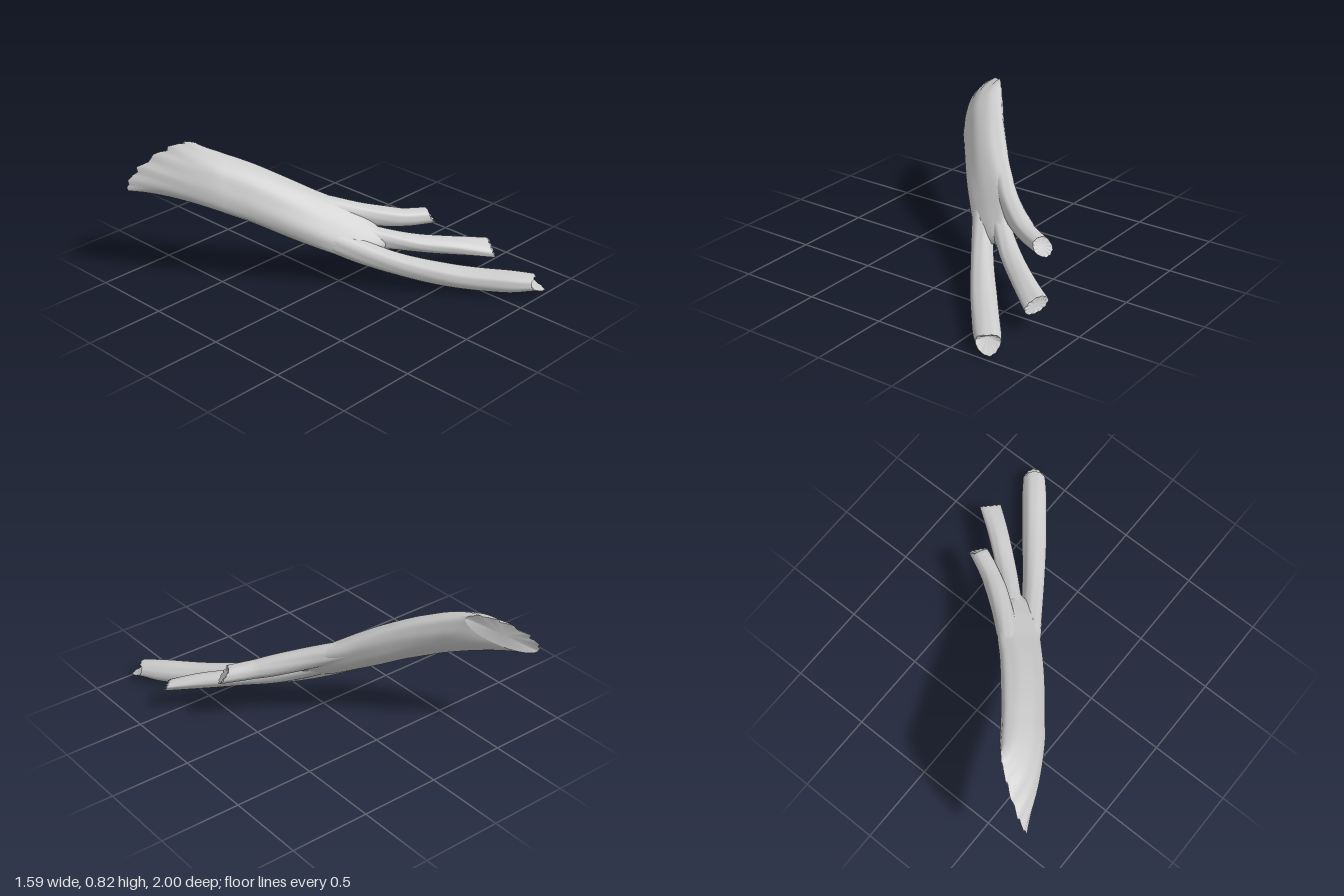
import * as THREE from 'three';

const SIDES = 48;
const UP = new THREE.Vector3(0, 1, 0);
const V = (x, y, z) => new THREE.Vector3(x, y, z);
const material = new THREE.MeshStandardMaterial({ color: 0xcccccc, side: THREE.DoubleSide });

// Upright, tilted oval sections along a path.
// Each station: [x, y, z, long half-axis, short half-axis, tilt]
function sections(stations, steps, ridge) {
  const path = new THREE.CatmullRomCurve3(stations.map((s) => V(s[0], s[1], s[2])));
  const size = new THREE.CatmullRomCurve3(stations.map((s) => V(s[3], s[4], s[5])));
  const rings = [];
  let along;
  for (let i = 0; i <= steps; i++) {
    const t = i / steps;
    const c = path.getPoint(t), s = size.getPoint(t);
    along = path.getTangent(t).setY(0).normalize();
    const side = UP.clone().cross(along);
    const e1 = UP.clone().multiplyScalar(Math.cos(s.z)).addScaledVector(side, Math.sin(s.z));
    const e2 = along.clone().cross(e1);
    const ring = [];
    for (let j = 0; j < SIDES; j++) {
      const a = (j / SIDES) * Math.PI * 2;
      // lengthwise fibre grooves that wander slowly
      const r = 1 + ridge * (Math.cos(5 * a + 2.5 * t) + 0.6 * Math.cos(9 * a - 4 * t + 1));
      ring.push(c.clone().addScaledVector(e1, s.x * r * Math.cos(a)).addScaledVector(e2, s.y * r * Math.sin(a)));
    }
    rings.push(ring);
  }
  return { rings, along };
}

// Smooth skin over a list of rings
function skin(rings) {
  const pos = [], idx = [];
  rings.forEach((ring) => ring.forEach((p) => pos.push(p.x, p.y, p.z)));
  for (let i = 0; i < rings.length - 1; i++) {
    for (let j = 0; j < SIDES; j++) {
      const k = (j + 1) % SIDES;
      const a = i * SIDES + j, b = i * SIDES + k;
      idx.push(a, b, a + SIDES, b, b + SIDES, a + SIDES);
    }
  }
  return finish(pos, idx);
}

// Sunken broken end inside a ring
function cap(ring, inward, atStart) {
  const mid = ring.reduce((m, p) => m.addScaledVector(p, 1 / SIDES), V(0, 0, 0)).add(inward);
  const pos = [mid.x, mid.y, mid.z], idx = [];
  ring.forEach((p) => pos.push(p.x, p.y, p.z));
  for (let j = 0; j < SIDES; j++) {
    const a = 1 + j, b = 1 + ((j + 1) % SIDES);
    if (atStart) idx.push(0, b, a);
    else idx.push(0, a, b);
  }
  return finish(pos, idx);
}

function finish(pos, idx) {
  const g = new THREE.BufferGeometry();
  g.setAttribute('position', new THREE.Float32BufferAttribute(pos, 3));
  g.setIndex(idx);
  g.computeVertexNormals();
  return g;
}

function part(name, geometries) {
  const group = new THREE.Group();
  group.name = name;
  geometries.forEach((g, i) => {
    const mesh = new THREE.Mesh(g, material);
    mesh.name = name + (i ? 'End' : 'Skin');
    group.add(mesh);
  });
  return group;
}

// Flattened main body with a long slanted, ragged cut at the back
function trunk() {
  const { rings } = sections([
    [-0.42, 0.615, -0.57, 0.175, 0.1, 0.58],
    [-0.3, 0.55, -0.42, 0.175, 0.1, 0.58],
    [-0.2, 0.485, -0.3, 0.175, 0.1, 0.6],
    [-0.1, 0.42, -0.185, 0.175, 0.092, 0.65],
    [0, 0.36, -0.08, 0.175, 0.08, 0.72],
    [0.11, 0.305, 0.045, 0.165, 0.06, 0.78],
    [0.18, 0.272, 0.12, 0.1, 0.04, 0.78],
    [0.24, 0.25, 0.17, 0.03, 0.02, 0.78],
  ], 42, 0.02);
  const low = V(-0.79, 0.55, -0.99), top = V(-0.42, 0.8, -0.76);
  const mid = low.clone().add(top).multiplyScalar(0.5);
  const half = top.clone().sub(mid);
  const outer = V(-0.015, 0.075, -0.05), inner = V(0.05, -0.045, 0.01);
  const back = V(-0.57, 0.3, -0.82);
  const rim = [];
  for (let j = 0; j < SIDES; j++) {
    const a = (j / SIDES) * Math.PI * 2, s = Math.sin(a);
    const p = mid.clone().addScaledVector(half, Math.cos(a)).addScaledVector(s > 0 ? outer : inner, Math.abs(s));
    // ragged fibres on the outer lip
    if (s > 0) p.addScaledVector(back, s * 0.014 * (Math.sin(j * 1.7) + 0.6 * Math.sin(j * 2.9)));
    rim.push(p);
  }
  // sides run straight back from the body, then curve in to the rim
  const sweeps = rim.map((p, j) => {
    const body = rings[0][j];
    const bend = body.clone().addScaledVector(back, 0.6 * Math.hypot(p.x - body.x, p.z - body.z));
    return new THREE.QuadraticBezierCurve3(p, bend, body);
  });
  const lead = [];
  for (let i = 0; i < 12; i++) lead.push(sweeps.map((c) => c.getPoint(i / 12)));
  return part('trunk', [skin([...lead, ...rings]), cap(rim, V(0, 0, 0), true)]);
}

// Branch rooted inside the trunk; slant(angle) shapes its broken end
function branch(name, stations, slant, depth) {
  const { rings, along } = sections(stations, 40, 0.02);
  const last = rings[rings.length - 1];
  last.forEach((p, j) => {
    const a = (j / SIDES) * Math.PI * 2;
    p.addScaledVector(along, slant(a) + 0.004 * Math.sin(j * 1.6));
  });
  return part(name, [skin(rings), cap(last, along.clone().multiplyScalar(-depth), false)]);
}

export function createModel() {
  const model = new THREE.Group();
  model.name = 'splitBranch';
  model.add(trunk());
  model.add(branch('upperBranch', [
    [-0.25, 0.59, -0.42, 0.04, 0.03, 0.5],
    [-0.1, 0.505, -0.27, 0.06, 0.05, 0.5],
    [0.05, 0.438, -0.13, 0.07, 0.06, 0.4],
    [0.2, 0.385, 0, 0.068, 0.064, 0.2],
    [0.4, 0.337, 0.14, 0.056, 0.06, 0],
    [0.57, 0.32, 0.225, 0.05, 0.056, 0],
  ], (a) => -0.035 * Math.cos(a) - 0.01 * Math.sin(a), 0.012));
  model.add(branch('middleBranch', [
    [-0.15, 0.45, -0.24, 0.05, 0.04, 0.4],
    [0, 0.35, -0.07, 0.08, 0.06, 0.4],
    [0.2, 0.265, 0.1, 0.068, 0.06, 0.2],
    [0.4, 0.213, 0.28, 0.05, 0.063, -0.2],
    [0.6, 0.18, 0.445, 0.046, 0.067, -0.35],
    [0.76, 0.15, 0.565, 0.032, 0.074, -0.45],
  ], (a) => -0.015 * Math.cos(a) + 0.006 * Math.sin(a), 0.015));
  model.add(branch('lowerBranch', [
    [-0.3, 0.49, -0.39, 0.04, 0.04, 0.4],
    [-0.15, 0.37, -0.19, 0.07, 0.06, 0.4],
    [0, 0.26, 0.02, 0.078, 0.065, 0.3],
    [0.2, 0.15, 0.3, 0.068, 0.068, 0.1],
    [0.4, 0.09, 0.56, 0.067, 0.077, 0],
    [0.6, 0.068, 0.81, 0.065, 0.078, 0],
    [0.71, 0.07, 0.945, 0.046, 0.068, 0],
  ], (a) => 0.025 * Math.cos(2 * a) - 0.03 * Math.cos(a), 0.07));
  return model;
}
